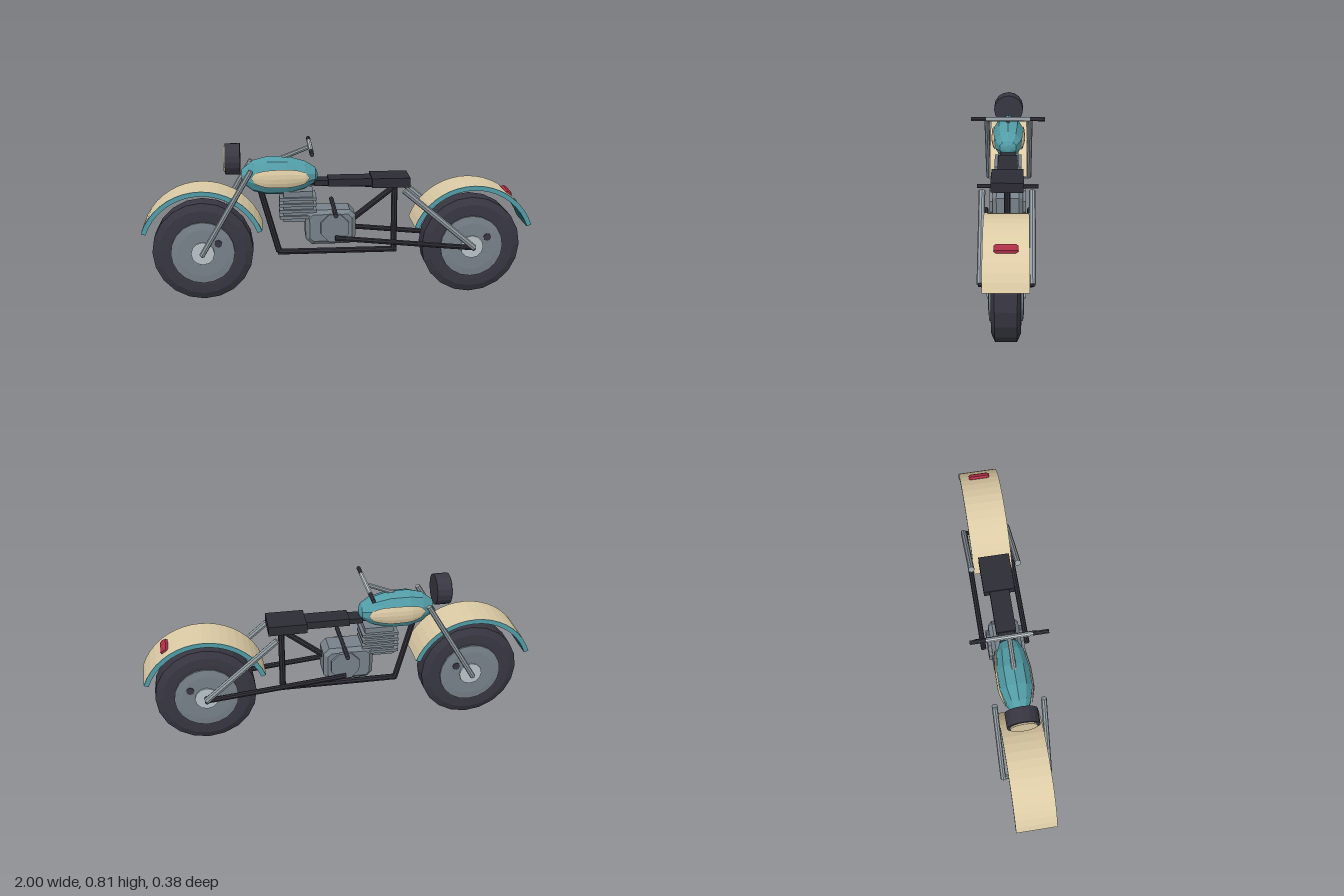
import * as THREE from 'three';

export function createModel() {
  const root = new THREE.Group();
  root.name = 'motorcycle';

  const mat = (name, color) => {
    const m = new THREE.MeshStandardMaterial({ color });
    m.name = name;
    return m;
  };
  const black = mat('black', 0x383742);
  const frameBlack = mat('frameBlack', 0x2d2c35);
  const steel = mat('steel', 0x78828a);
  const tubeSteel = mat('tubeSteel', 0x929da3);
  const chrome = mat('chrome', 0xbac4c9);
  const teal = mat('teal', 0x529da7);
  const darkTeal = mat('darkTeal', 0x28616a);
  const tan = mat('tan', 0xdccba5);
  const red = mat('red', 0xac2f46);

  // Faceted mesh: unshared vertices give each face its own normal
  function add(name, geo, material, parent = root) {
    const g = geo.index ? geo.toNonIndexed() : geo;
    g.computeVertexNormals();
    const mesh = new THREE.Mesh(g, material);
    mesh.name = name;
    parent.add(mesh);
    return mesh;
  }

  // Straight round tube between two points
  function tube(name, from, to, r, material, sides = 8) {
    const a = new THREE.Vector3(...from), b = new THREE.Vector3(...to);
    const dir = b.clone().sub(a);
    const mesh = add(name, new THREE.CylinderGeometry(r, r, dir.length(), sides), material);
    mesh.position.copy(a).add(b).multiplyScalar(0.5);
    mesh.quaternion.setFromUnitVectors(new THREE.Vector3(0, 1, 0), dir.normalize());
    return mesh;
  }

  function box(name, x0, x1, y0, y1, halfZ, material) {
    const mesh = add(name, new THREE.BoxGeometry(x1 - x0, y1 - y0, halfZ * 2), material);
    mesh.position.set((x0 + x1) / 2, (y0 + y1) / 2, 0);
    return mesh;
  }

  // Extruded outline, centred on z = 0
  function extrude(shape, depth, bevel) {
    const g = new THREE.ExtrudeGeometry(shape, {
      depth: depth - 2 * bevel, bevelEnabled: bevel > 0, bevelSize: bevel,
      bevelThickness: bevel, bevelOffset: -bevel, bevelSegments: 1, curveSegments: 9,
    });
    return g.translate(0, 0, -depth / 2 + bevel);
  }

  // Round solid about the z axis from radius and z pairs
  const lathe = (pts, sides) => new THREE.LatheGeometry(
    pts.map(([r, y]) => new THREE.Vector2(r, y)), sides).rotateX(Math.PI / 2);
  const disc = (r, halfZ, sides) =>
    new THREE.CylinderGeometry(r, r, halfZ * 2, sides).rotateX(Math.PI / 2);

  // Wheels with their fenders
  const sweep = THREE.MathUtils.degToRad(70);
  const fenderSkin = (r) => new THREE.CylinderGeometry(r, r, 0.206, 18, 1, true, -sweep, 2 * sweep)
    .rotateX(-Math.PI / 2);

  function wheel(name, x) {
    const g = new THREE.Group();
    g.name = name;
    g.position.set(x, 0.261, 0);
    root.add(g);
    add('tyre', lathe([[0.15, -0.068], [0.18, -0.069], [0.222, -0.067], [0.258, -0.05],
      [0.258, 0.05], [0.222, 0.067], [0.18, 0.069], [0.15, 0.068]], 20), black, g);
    add('rim', lathe([[0, -0.081], [0.125, -0.081], [0.163, -0.077], [0.163, 0.077],
      [0.125, 0.081], [0, 0.081]], 20), steel, g);
    add('hub', disc(0.06, 0.089, 12), chrome, g);
    add('valveBolt', disc(0.02, 0.086, 8), black, g).position.set(0.08, 0.05, 0);

    // Fender body with painted outer and inner skins
    const arc = new THREE.Shape();
    const a0 = Math.PI / 2 - sweep, a1 = Math.PI / 2 + sweep;
    arc.absarc(0, 0, 0.324, a0, a1, false);
    arc.absarc(0, 0, 0.3, a1, a0, true);
    arc.closePath();
    const fender = new THREE.Group();
    fender.name = 'fender';
    fender.position.y = 0.008;
    g.add(fender);
    add('fenderBody', extrude(arc, 0.206, 0), teal, fender);
    add('fenderTop', fenderSkin(0.326), tan, fender);
    add('fenderInside', fenderSkin(0.298).scale(-1, 1, 1), darkTeal, fender);
  }
  wheel('frontWheel', -0.696);
  wheel('rearWheel', 0.696);

  // Tail light on the rear fender
  const tail = add('tailLight', lathe([[0, -0.054], [0.015, -0.054], [0.023, -0.044],
    [0.023, 0.044], [0.015, 0.054], [0, 0.054]], 8), red);
  tail.scale.y = 0.7;
  tail.position.set(0.884, 0.536, 0);
  tail.rotation.z = -0.61;

  // Forks, rear struts and swingarms
  for (const s of [1, -1]) {
    tube('fork', [-0.7, 0.26, s * 0.119], [-0.44, 0.7, s * 0.119], 0.014, tubeSteel);
    tube('rearStrut', [0.7, 0.268, s * 0.121], [0.33, 0.582, s * 0.121], 0.016, tubeSteel);
    tube('swingarm', [-0.02, 0.337, s * 0.115], [0.7, 0.265, s * 0.115], 0.014, frameBlack);
  }
  tube('frontAxle', [-0.696, 0.262, -0.118], [-0.696, 0.262, 0.118], 0.012, tubeSteel);
  tube('rearAxle', [0.696, 0.265, -0.13], [0.696, 0.265, 0.13], 0.012, frameBlack);
  tube('footPegs', [-0.02, 0.468, -0.16], [-0.02, 0.468, 0.16], 0.012, black);

  // Main frame
  const r = 0.016;
  tube('downTube', [-0.395, 0.57, 0], [-0.305, 0.235, 0], r, frameBlack);
  tube('lowerTube', [-0.312, 0.232, 0], [0.31, 0.232, 0], r, frameBlack);
  tube('seatPost', [0.296, 0.225, 0], [0.296, 0.59, 0], r, frameBlack);
  tube('diagonalTube', [0.296, 0.575, 0], [0.06, 0.39, 0], r, frameBlack);
  tube('topTube', [-0.2, 0.605, 0], [0.32, 0.582, 0], r, frameBlack);

  // Seat
  box('seatFront', -0.12, -0.045, 0.595, 0.622, 0.04, frameBlack);
  box('seatMiddle', -0.05, 0.18, 0.592, 0.63, 0.05, frameBlack);
  box('seatRear', 0.172, 0.367, 0.587, 0.636, 0.079, frameBlack);

  // Engine: crankcase, side cover and finned cylinder
  const c = 0.03, x0 = -0.168, x1 = 0.088, y0 = 0.29, y1 = 0.472;
  const crank = new THREE.Shape([
    [x0 + c, y0], [x1 - c, y0], [x1, y0 + c], [x1, y1 - c],
    [x1 - c, y1], [x0 + c, y1], [x0, y1 - c], [x0, y0 + c],
  ].map(([x, y]) => new THREE.Vector2(x, y)));
  add('crankcase', extrude(crank, 0.156, 0.02), steel);
  const cover = add('crankCover', disc(0.078, 0.094, 8), steel);
  cover.position.set(-0.02, 0.382, 0);
  cover.rotation.z = Math.PI / 8;
  box('cylinder', -0.28, -0.128, 0.41, 0.57, 0.055, steel);
  for (let i = 0; i < 4; i++) {
    const y = 0.43 + i * 0.032;
    box('coolingFin', -0.3, -0.112, y, y + 0.015, 0.072, steel);
  }

  // Fuel tank from elliptical sections: x, half height, half width
  const tankY = 0.645;
  const sections = [
    [-0.49, 0, 0], [-0.488, 0.035, 0.03], [-0.43, 0.082, 0.062], [-0.36, 0.1, 0.083],
    [-0.26, 0.1, 0.083], [-0.165, 0.072, 0.07], [-0.115, 0.04, 0.045],
    [-0.104, 0.018, 0.02], [-0.103, 0, 0],
  ];
  const n = 10, pos = [], idx = [];
  sections.forEach(([x, hy, hz], i) => {
    for (let j = 0; j < n; j++) {
      const t = (j / n) * Math.PI * 2;
      pos.push(x, tankY + hy * Math.cos(t), hz * Math.sin(t));
      if (i === sections.length - 1) continue;
      const a = i * n + j, b = i * n + (j + 1) % n;
      idx.push(a, b, b + n, a, b + n, a + n);
    }
  });
  const tankGeo = new THREE.BufferGeometry();
  tankGeo.setAttribute('position', new THREE.Float32BufferAttribute(pos, 3));
  tankGeo.setIndex(idx);
  add('fuelTank', tankGeo, teal);

  // Oval side panels that follow the tank surface
  function tankHalfWidth(x, dy) {
    const i = sections.findIndex((s) => s[0] > x);
    const [xa, ya, za] = sections[i - 1], [xb, yb, zb] = sections[i];
    const k = (x - xa) / (xb - xa);
    const hy = ya + (yb - ya) * k, hz = za + (zb - za) * k;
    return hz * Math.sqrt(Math.max(0, 1 - (dy / hy) ** 2));
  }
  for (const s of [1, -1]) {
    const g = new THREE.PlaneGeometry(2, 2, 12, 4);
    const p = g.attributes.position;
    for (let i = 0; i < p.count; i++) {
      const u = p.getX(i), x = -0.293 + 0.15 * u * s;
      const dy = p.getY(i) * 0.047 * Math.sqrt(1 - Math.abs(u) ** 2.5);
      p.setXYZ(i, x, tankY + dy, s * (tankHalfWidth(x, dy) + 0.007));
    }
    add('tankPanel', g, tan);
  }

  // Headlight
  tube('headlight', [-0.57, 0.735, 0], [-0.494, 0.735, 0], 0.08, black, 16);
  tube('headlightLens', [-0.577, 0.735, 0], [-0.569, 0.735, 0], 0.066, tan, 16);

  // Handlebar, stem and grips
  tube('handlebarStem', [-0.31, 0.725, 0], [-0.145, 0.79, 0], 0.012, tubeSteel);
  tube('handlebar', [-0.14, 0.794, -0.113], [-0.14, 0.794, 0.113], 0.012, chrome);
  for (const s of [1, -1]) {
    tube('grip', [-0.14, 0.794, s * 0.11], [-0.14, 0.794, s * 0.192], 0.011, black);
  }

  return root;
}
